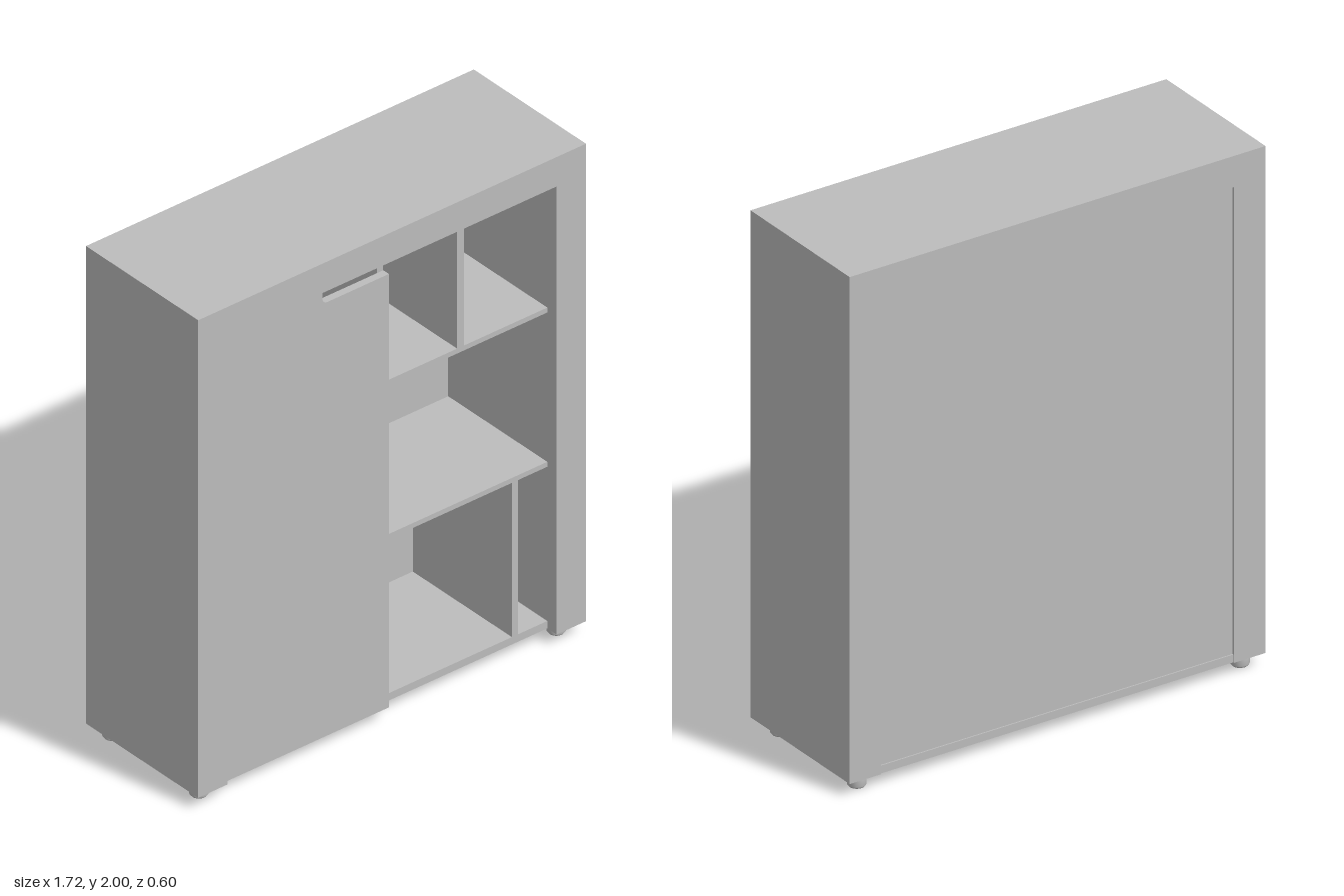
import * as THREE from 'three';

const grey = new THREE.MeshStandardMaterial({ color: 0xbcbcbc });
grey.name = 'grey';

// Box given by its limits on each axis
function panel(name, [x0, x1], [y0, y1], [z0, z1]) {
  const mesh = new THREE.Mesh(new THREE.BoxGeometry(x1 - x0, y1 - y0, z1 - z0), grey);
  mesh.position.set((x0 + x1) / 2, (y0 + y1) / 2, (z0 + z1) / 2);
  mesh.name = name;
  return mesh;
}

// Door with a hand notch in its upper inner corner
function makeDoor() {
  const s = new THREE.Shape();
  s.moveTo(-0.725, 0.05);
  s.lineTo(0, 0.05);
  s.lineTo(0, 1.82);
  s.lineTo(-0.27, 1.82);
  s.quadraticCurveTo(-0.295, 1.82, -0.295, 1.845);
  s.lineTo(-0.295, 1.877);
  s.lineTo(-0.725, 1.877);
  s.closePath();
  const geo = new THREE.ExtrudeGeometry(s, { depth: 0.03, bevelEnabled: false, curveSegments: 6 });
  geo.translate(0, 0, 0.253);
  const door = new THREE.Mesh(geo, grey);
  door.name = 'door';
  return door;
}

export function createModel() {
  const cabinet = new THREE.Group();
  cabinet.name = 'cabinet';
  const inner = [-0.28, 0.25];

  // Carcass
  cabinet.add(
    panel('leftSide', [0.73, 0.86], [0.05, 2], [-0.3, 0.3]),
    panel('rightSide', [-0.86, -0.73], [0.05, 2], [-0.3, 0.3]),
    panel('topBeam', [-0.73, 0.73], [1.88, 2], [-0.3, 0.3]),
    panel('base', [-0.73, 0.73], [0.05, 0.08], [-0.295, 0.25]),
    panel('backPanel', [-0.73, 0.73], [0.08, 1.88], [-0.29, -0.28]),
    makeDoor()
  );

  // Open compartments
  cabinet.add(
    panel('centrePartition', [-0.025, 0], [0.08, 1.88], inner),
    panel('upperShelf', [0, 0.73], [1.34, 1.36], inner),
    panel('lowerShelf', [0, 0.73], [0.71, 0.73], inner),
    panel('upperDivider', [0.33, 0.36], [1.36, 1.88], inner),
    panel('lowerDivider', [0.573, 0.6], [0.08, 0.71], inner)
  );

  // Feet with softened rims
  const profile = [[0, 0], [0.028, 0], [0.034, 0.008], [0.034, 0.04], [0.03, 0.05], [0, 0.05]]
    .map(([r, y]) => new THREE.Vector2(r, y));
  const footGeo = new THREE.LatheGeometry(profile, 20);
  for (const x of [-0.795, 0.79]) {
    for (const z of [-0.24, 0.225]) {
      const foot = new THREE.Mesh(footGeo, grey);
      foot.position.set(x, 0, z);
      foot.name = 'foot';
      cabinet.add(foot);
    }
  }
  return cabinet;
}
